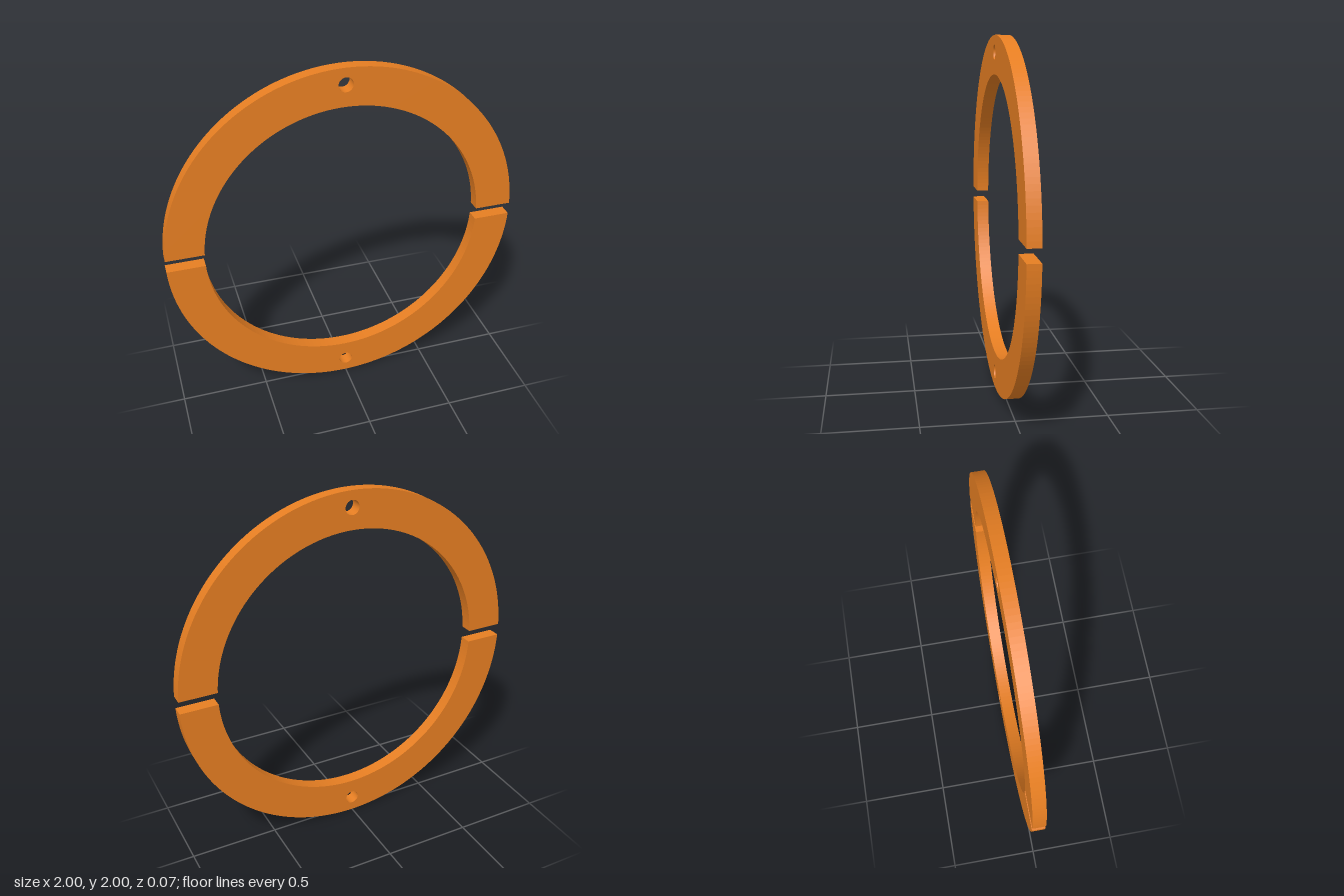
import * as THREE from 'three';

const OUTER = 1, INNER = 0.789, HALF_GAP = 0.035, DEPTH = 0.072;
const HOLE_RADIUS = 0.04, HOLE_CENTRE = 0.909;

// Half ring with straight, parallel cut ends and one round bolt hole
function halfRingGeometry() {
  const outerAngle = Math.asin(HALF_GAP / OUTER);
  const innerAngle = Math.asin(HALF_GAP / INNER);
  const shape = new THREE.Shape();
  shape.absarc(0, 0, OUTER, outerAngle, Math.PI - outerAngle, false);
  shape.absarc(0, 0, INNER, Math.PI - innerAngle, innerAngle, true);
  shape.closePath();

  const hole = new THREE.Path();
  hole.absarc(0, HOLE_CENTRE, HOLE_RADIUS, 0, Math.PI * 2, true);
  shape.holes.push(hole);

  const geometry = new THREE.ExtrudeGeometry(shape, {
    depth: DEPTH, bevelEnabled: false, curveSegments: 48,
  });
  return geometry.translate(0, 0, -DEPTH / 2);
}

export function createModel() {
  const group = new THREE.Group();
  group.name = 'splitRing';
  const material = new THREE.MeshStandardMaterial({ color: 0xe67e22 });
  const geometry = halfRingGeometry();

  // The lower half is the upper half turned through 180 degrees
  ['upperHalfRing', 'lowerHalfRing'].forEach((name, i) => {
    const half = new THREE.Mesh(geometry, material);
    half.name = name;
    half.position.y = OUTER;
    half.rotation.z = i * Math.PI;
    group.add(half);
  });
  return group;
}
